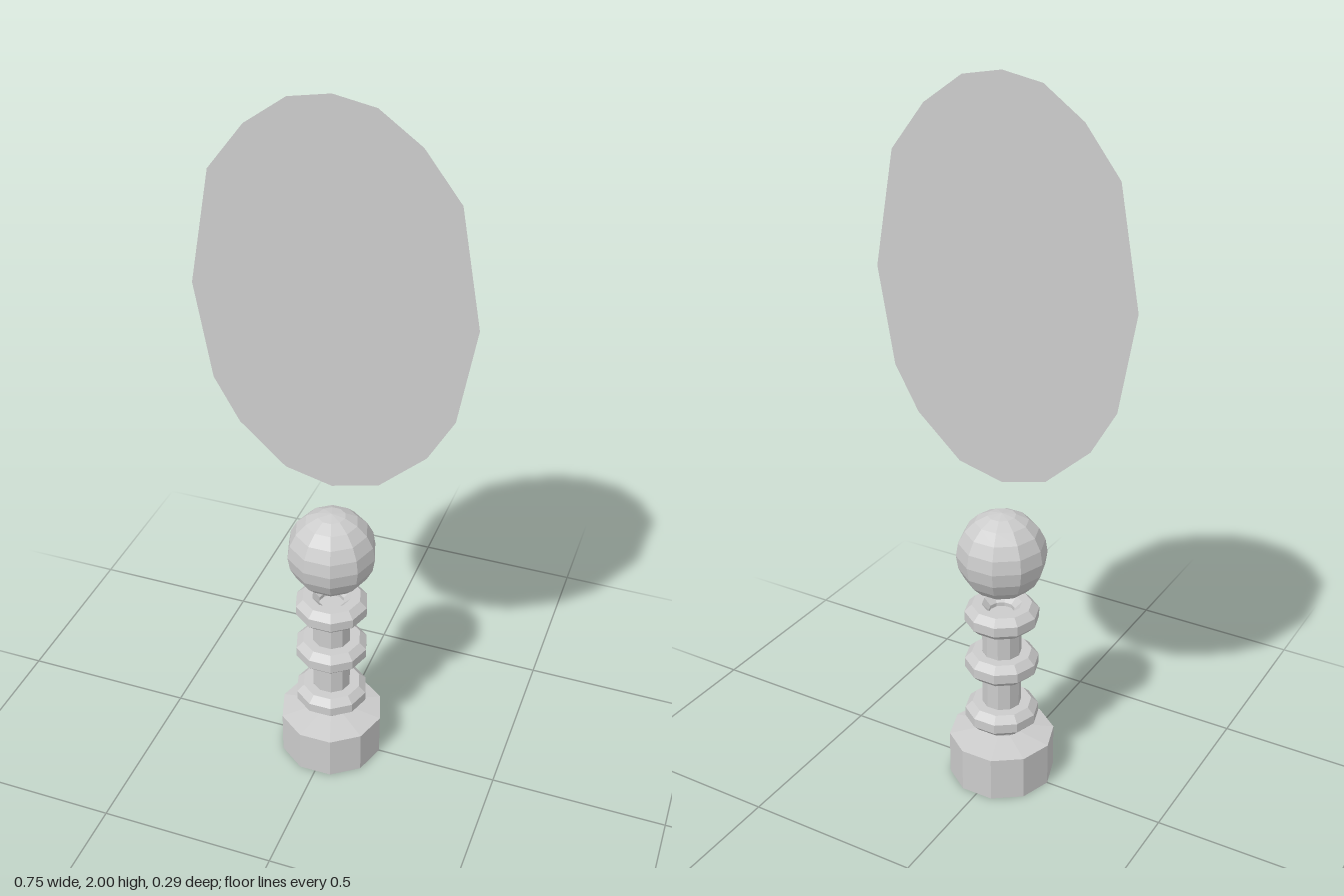
import * as THREE from 'three';

const SIDES = 10;

export function createModel() {
  const group = new THREE.Group();
  const material = new THREE.MeshStandardMaterial({ color: 0xcccccc, flatShading: true });

  const add = (name, geometry, y = 0, mat = material) => {
    const mesh = new THREE.Mesh(geometry, mat);
    mesh.name = name;
    mesh.position.y = y;
    group.add(mesh);
  };

  // Ten-sided turned part with a corner on the x axis
  const turned = (points) =>
    new THREE.LatheGeometry(points.map(([r, y]) => new THREE.Vector2(r, y)), SIDES).rotateY(Math.PI / 2);

  // Base with a shallow sloping top
  add('base', turned([[0, 0], [0.15, 0], [0.15, 0.13], [0.055, 0.147], [0, 0.147]]));

  // Column
  add('column', turned([[0, 0.14], [0.055, 0.14], [0.055, 0.525], [0, 0.525]]));

  // Three rings with an octagonal section
  const section = [];
  for (let i = 0; i <= 8; i++) {
    const a = ((i + 0.5) * Math.PI) / 4;
    section.push([0.07 + 0.037 * Math.cos(a), 0.036 * Math.sin(a)]);
  }
  const ring = turned(section);
  [['lowerRing', 0.204], ['middleRing', 0.37], ['upperRing', 0.522]].forEach(([name, y]) => add(name, ring, y));

  // Ball floating above the column
  add('ball', new THREE.SphereGeometry(0.125, SIDES, 10), 0.711);

  // Flat egg-shaped panel, mirrored from its right half
  const half = [
    [0.13, 0.96], [0.258, 1.075], [0.328, 1.198], [0.374, 1.465],
    [0.317, 1.777], [0.22, 1.902], [0.11, 1.98],
  ];
  const mirrored = half.map(([x, y]) => [-x, y]).reverse();
  const outline = [[0, 0.928], ...half, [0, 2], ...mirrored];
  const shape = new THREE.Shape(outline.map(([x, y]) => new THREE.Vector2(x, y)));
  const thin = material.clone();
  thin.side = THREE.DoubleSide;
  add('panel', new THREE.ShapeGeometry(shape), 0, thin);

  return group;
}
